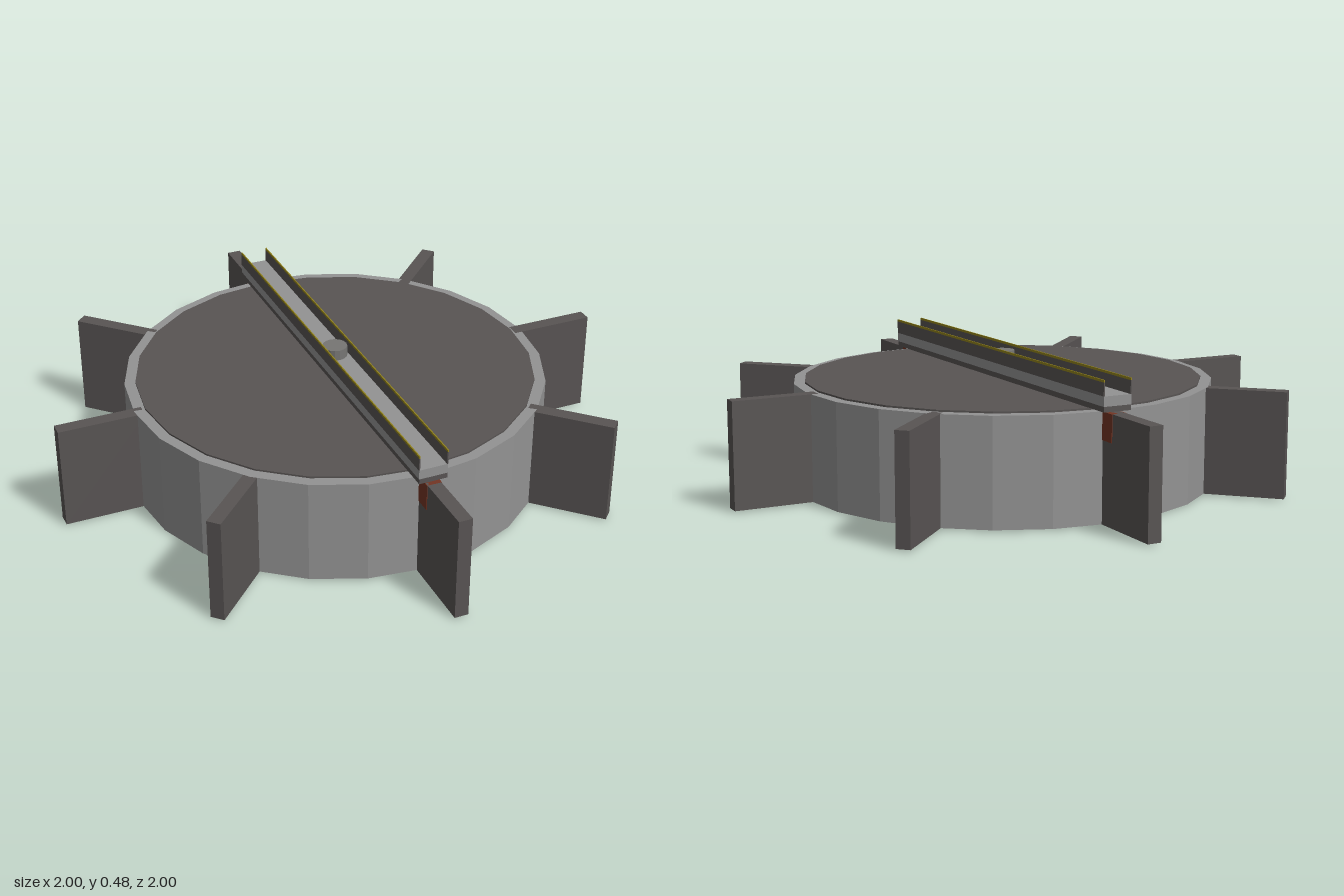
import * as THREE from 'three';

const mat = (color) => new THREE.MeshStandardMaterial({ color, flatShading: true });

export function createModel() {
  const root = new THREE.Group();
  const light = mat(0x939393);
  const mid = mat(0x777674);
  const dark = mat(0x585453);
  const rust = mat(0x743523);
  const yellow = mat(0x94841c);

  const add = (name, geometry, material, x = 0, y = 0, z = 0, parent = root) => {
    const mesh = new THREE.Mesh(geometry, material);
    mesh.name = name;
    mesh.position.set(x, y, z);
    parent.add(mesh);
    return mesh;
  };
  const box = (w, h, d) => new THREE.BoxGeometry(w, h, d);

  // Faceted drum with slightly proud dark end plates
  add('drum', new THREE.CylinderGeometry(0.73, 0.73, 0.366, 24), light, 0, 0.188);
  const plate = new THREE.CylinderGeometry(0.692, 0.692, 0.012, 24);
  add('topPlate', plate, dark, 0, 0.371);
  add('bottomPlate', plate, dark, 0, 0.006);

  // Eight radial paddles
  for (let i = 0; i < 8; i++) {
    const arm = new THREE.Group();
    arm.name = 'paddleArm';
    arm.rotation.y = (i * Math.PI) / 4;
    add('paddle', box(0.3, 0.366, 0.048), dark, 0.85, 0.188, 0, arm);
    root.add(arm);
  }

  // Channel beam across the top: dark base, light floor, thin walls, yellow top edges
  add('beamBase', box(0.098, 0.018, 1.55), dark, 0, 0.386);
  add('beamFloor', box(0.1, 0.033, 1.55), light, 0, 0.4115);
  for (const s of [-1, 1]) {
    add('beamWall', box(0.004, 0.044, 1.55), dark, s * 0.049, 0.45);
    add('beamEdge', box(0.004, 0.008, 1.55), yellow, s * 0.049, 0.476);
    // Rust-coloured blocks hanging under the beam ends
    add('endBlock', box(0.052, 0.092, 0.065), rust, 0, 0.325, s * 0.752);
  }

  // Centre pivot
  add('pivot', new THREE.CylinderGeometry(0.043, 0.043, 0.037, 16), mid, 0, 0.4465);

  return root;
}
